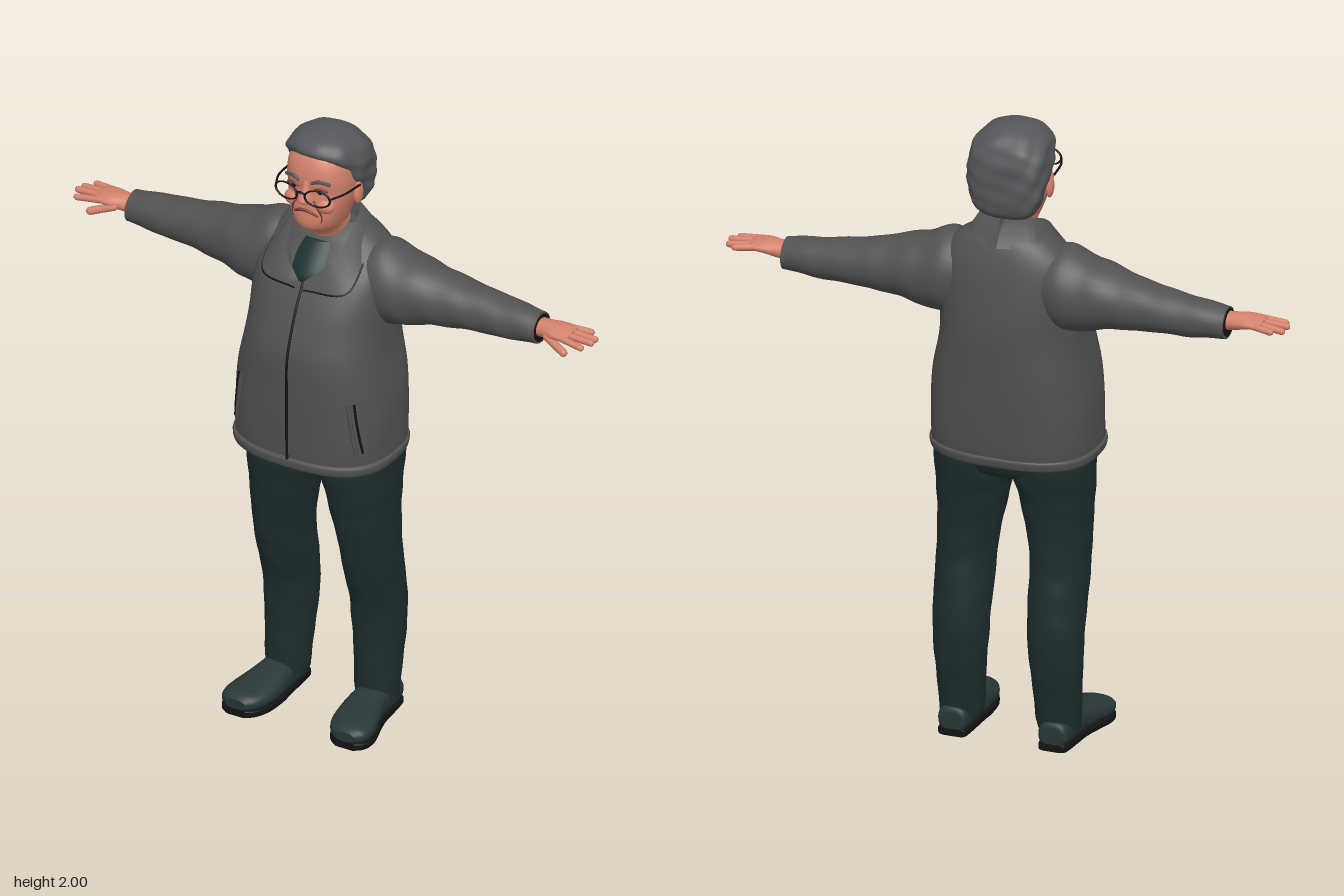
import * as THREE from 'three';

const mat = (name, color, side = THREE.FrontSide) => {
  const m = new THREE.MeshStandardMaterial({ color, side });
  m.name = name;
  return m;
};

// Smooth value between table rows; u counts rows, a missing roundness is 1
function rowAt(rows, u) {
  const i = Math.min(Math.floor(u), rows.length - 2), f = u - i;
  const get = (k, c) => rows[Math.max(0, Math.min(rows.length - 1, k))][c] ?? 1;
  return [0, 1, 2, 3, 4, 5].map((c) => {
    const a = get(i - 1, c), b = get(i, c), d = get(i + 1, c), e = get(i + 2, c);
    return b + 0.5 * f * (d - a + f * (2 * a - 5 * b + 4 * d - e + f * (3 * (b - d) + e - a)));
  });
}

// Loft of superellipses, each row: [along, centre, halfWidth, max, min, roundness]
// axis y: width in x, max/min in z. axis x: width in z, max/min in y. axis z: width in y, max/min in x.
function loft(rows, { axis = 'y', n = 32, sub = 4, warp = () => 1 } = {}) {
  const pos = [], idx = [], steps = (rows.length - 1) * sub;
  const put = (a, b, c) => pos.push(...(axis === 'y' ? [a, b, c] : axis === 'x' ? [b, c, a] : [c, a, b]));
  const pow = (v, e) => Math.sign(v) * Math.abs(v) ** e;
  for (let i = 0; i <= steps; i++) {
    const [t, c, w, hi, lo, e] = rowAt(rows, i / sub);
    for (let j = 0; j < n; j++) {
      const a = (j / n) * Math.PI * 2, k = warp(t, a);
      put(c + w * k * pow(Math.cos(a), e), t, (hi + lo) / 2 + ((hi - lo) / 2) * k * pow(Math.sin(a), e));
      const p = i * n + j, q = i * n + ((j + 1) % n);
      if (i < steps) idx.push(p, p + n, q, q, p + n, q + n);
    }
  }
  // End caps
  for (const [row, i, flip] of [[rows[0], 0, false], [rows[rows.length - 1], steps, true]]) {
    const start = pos.length / 3;
    for (let j = 0; j < n; j++) pos.push(...pos.slice((i * n + j) * 3, (i * n + j) * 3 + 3));
    put(row[1], row[0], (row[3] + row[4]) / 2);
    for (let j = 0; j < n; j++) {
      const p = start + j, q = start + ((j + 1) % n);
      idx.push(start + n, ...(flip ? [q, p] : [p, q]));
    }
  }
  return build(pos, idx);
}

function build(pos, idx) {
  const g = new THREE.BufferGeometry();
  g.setAttribute('position', new THREE.Float32BufferAttribute(pos, 3));
  g.setIndex(idx);
  g.computeVertexNormals();
  return g;
}

function mirrored(geo) {
  const g = geo.clone().scale(-1, 1, 1);
  const ix = g.index.array;
  for (let i = 0; i < ix.length; i += 3) [ix[i], ix[i + 1]] = [ix[i + 1], ix[i]];
  return g;
}

const V = (p) => new THREE.Vector3(...p);
const curve = (pts) => new THREE.CatmullRomCurve3(pts.map(V));
const tube = (pts, r, n = 24) => new THREE.TubeGeometry(curve(pts), n, r, 6);
const ball = (x, y, z, rx, ry, rz) => new THREE.SphereGeometry(1, 20, 14).scale(rx, ry, rz).translate(x, y, z);

function capsule(from, to, r) {
  const a = V(from), b = V(to), d = b.clone().sub(a);
  const g = new THREE.CapsuleGeometry(r, d.length(), 5, 10);
  g.applyQuaternion(new THREE.Quaternion().setFromUnitVectors(new THREE.Vector3(0, 1, 0), d.normalize()));
  return g.translate(...a.add(b).multiplyScalar(0.5).toArray());
}

const TORSO = [
  [0.945, 0, 0.255, 0.2, -0.195, 0.75], [1.0, 0, 0.256, 0.204, -0.204, 0.75],
  [1.1, 0, 0.255, 0.205, -0.21, 0.75], [1.2, 0, 0.247, 0.205, -0.215, 0.78],
  [1.3, 0, 0.229, 0.203, -0.219, 0.8], [1.38, 0, 0.223, 0.18, -0.219, 0.82],
  [1.46, 0, 0.224, 0.147, -0.212, 0.82], [1.54, 0, 0.22, 0.1, -0.2, 0.82],
  [1.6, 0, 0.2, 0.05, -0.186, 0.85], [1.65, 0, 0.15, 0.015, -0.168, 0.9], [1.68, 0, 0.1, -0.02, -0.145, 1],
];

// Point on the front of the jacket
function onTorso(x, y, out = 0.002) {
  let i = 0;
  while (i < TORSO.length - 2 && TORSO[i + 1][0] < y) i++;
  const u = i + Math.max(0, (y - TORSO[i][0]) / (TORSO[i + 1][0] - TORSO[i][0]));
  const [, , w, hi, lo, e] = rowAt(TORSO, u);
  return [x, y, (hi + lo) / 2 + ((hi - lo) / 2) * (1 - Math.abs(x / w) ** (2 / e)) ** (e / 2) + out];
}

export function createModel() {
  const root = new THREE.Group();
  root.name = 'standingPerson';
  const jacket = mat('jacket grey', 0x525252), cloth = mat('collar grey', 0x525252, THREE.DoubleSide);
  const hair = mat('hair grey', 0x55575a), skin = mat('skin', 0xd4826c), crease = mat('dark skin', 0x7d4238);
  const trousers = mat('trousers green', 0x1f2e2e), shirt = mat('shirt green', 0x1d3332);
  const shoe = mat('shoe green', 0x283737), black = mat('black', 0x131313), eyeWhite = mat('eye white', 0xa9b0b0);
  const add = (name, geo, m) => {
    const mesh = new THREE.Mesh(geo, m);
    mesh.name = name;
    root.add(mesh);
  };
  const pair = (name, geo, m) => {
    add(name + 'Left', geo, m);
    add(name + 'Right', mirrored(geo), m);
  };

  // Jacket body, hem, zip and pockets
  add('jacketBody', loft(TORSO, { n: 56, warp: (y, a) => 1 + 0.007 * Math.sin(a * 4 + y * 16) * Math.sin(y * 9) }), jacket);
  add('jacketHem', loft([
    [0.93, 0, 0.25, 0.2, -0.19, 0.75], [0.934, 0, 0.26, 0.208, -0.198, 0.75],
    [0.958, 0, 0.263, 0.21, -0.203, 0.75], [0.965, 0, 0.25, 0.2, -0.195, 0.75],
  ], { n: 56 }), jacket);
  add('zip', tube([0.94, 1.0, 1.1, 1.2, 1.3, 1.38, 1.46, 1.53].map((y) => onTorso(0, y, 0.004)), 0.0045, 40), black);
  const pocketY = [1.18, 1.12, 1.06, 1.01];
  pair('pocketSeam', tube(pocketY.map((y) => onTorso(0.2 + (1.18 - y) * 0.13, y)), 0.004), black);
  pair('pocketEdge', tube(pocketY.map((y) => onTorso(0.185 + (1.18 - y) * 0.13, y, 0)), 0.007), jacket);

  // Collar: inner wall, folded top edge, outer flap
  const edges = [
    [[0, 1.65, -0.11], [0.08, 1.64, -0.06], [0.085, 1.61, 0], [0.06, 1.56, 0.075], [0.01, 1.52, 0.112]],
    [[0, 1.732, -0.13], [0.078, 1.725, -0.095], [0.1, 1.69, -0.02], [0.082, 1.61, 0.075], [0.012, 1.54, 0.127]],
    [[0, 1.645, -0.182], [0.125, 1.64, -0.13], [0.152, 1.61, -0.01], [0.145, 1.525, 0.105], [0.015, 1.515, 0.135]],
  ].map((p) => curve(p).getPoints(24));
  const cp = [], ci = [];
  for (let i = 0; i <= 24; i++) {
    edges.forEach((e) => cp.push(...e[i].toArray()));
    for (let k = 0; k < 2 && i < 24; k++) {
      const p = i * 3 + k;
      ci.push(p, p + 3, p + 1, p + 1, p + 3, p + 4);
    }
  }
  pair('collar', build(cp, ci), cloth);
  pair('collarSeam', tube(edges[2].slice(13).map((v) => v.toArray()), 0.003), black);
  add('shirt', loft([
    [1.5, 0, 0.09, 0.1, -0.09], [1.54, 0, 0.092, 0.112, -0.09], [1.58, 0, 0.085, 0.088, -0.1],
    [1.62, 0, 0.076, 0.052, -0.11], [1.635, 0, 0.07, 0.038, -0.11],
  ]), shirt);

  // Sleeves with soft folds, dark cuff openings
  pair('sleeve', loft([
    [0.1, -0.07, 0.1, 1.61, 1.42], [0.18, -0.07, 0.117, 1.64, 1.37], [0.27, -0.07, 0.112, 1.612, 1.383],
    [0.36, -0.076, 0.095, 1.588, 1.402], [0.465, -0.085, 0.078, 1.564, 1.414], [0.6, -0.09, 0.065, 1.544, 1.42],
    [0.69, -0.09, 0.055, 1.533, 1.428], [0.712, -0.09, 0.052, 1.53, 1.43],
  ], { axis: 'x', sub: 7, warp: (x, a) => 1 + 0.025 * Math.sin(x * 48 + 2 * Math.sin(a + 1)) * Math.sin(a * 2 + x * 9) }), jacket);
  pair('cuffOpening', loft([[0.711, -0.09, 0.045, 1.525, 1.437], [0.714, -0.09, 0.045, 1.525, 1.437]], { axis: 'x' }), black);

  // Hands
  pair('palm', loft([
    [0.69, -0.088, 0.032, 1.515, 1.455], [0.73, -0.086, 0.035, 1.515, 1.46], [0.77, -0.083, 0.046, 1.515, 1.47],
    [0.805, -0.084, 0.048, 1.51, 1.478], [0.825, -0.085, 0.042, 1.503, 1.482],
  ], { axis: 'x', n: 20 }), skin);
  [[-0.046, -0.04, 0.878], [-0.072, -0.074, 0.894], [-0.097, -0.105, 0.89], [-0.119, -0.131, 0.862]].forEach(([z0, z1, tip], i) =>
    pair('finger' + (i + 1), capsule([0.8, 1.494, z0], [tip, 1.485 + 0.004 * (i % 2), z1], 0.0105), skin));
  pair('thumb', capsule([0.755, 1.482, -0.05], [0.825, 1.458, -0.028], 0.0125), skin);

  // Trousers
  pair('trouserLeg', loft([
    [0.055, 0.158, 0.066, 0.0, -0.125], [0.1, 0.155, 0.071, 0.004, -0.132], [0.2, 0.155, 0.076, 0.002, -0.15],
    [0.3, 0.153, 0.084, 0.002, -0.163], [0.4, 0.152, 0.088, 0.014, -0.164], [0.5, 0.151, 0.09, 0.05, -0.153],
    [0.6, 0.15, 0.091, 0.076, -0.141], [0.7, 0.142, 0.1, 0.096, -0.142], [0.8, 0.133, 0.113, 0.113, -0.152],
    [0.87, 0.126, 0.124, 0.124, -0.17], [0.95, 0.125, 0.126, 0.13, -0.182],
  ], { sub: 6, warp: (y, a) => 1 + (0.012 + 0.02 * Math.max(0, 0.3 - y)) * Math.sin(y * 55 + a) * Math.sin(a * 2 + y * 8) }), trousers);
  add('trouserSeat', loft([
    [0.865, 0, 0.06, 0.07, -0.11], [0.89, 0, 0.17, 0.115, -0.16, 0.8], [0.96, 0, 0.245, 0.13, -0.185, 0.8],
  ]), trousers);

  // Shoes with flat soles
  const shoeRows = [
    [-0.14, 0.05, 0.028, 0.195, 0.125], [-0.128, 0.052, 0.042, 0.208, 0.115], [-0.06, 0.056, 0.052, 0.216, 0.11],
    [0, 0.056, 0.05, 0.222, 0.107], [0.05, 0.052, 0.042, 0.235, 0.103], [0.12, 0.045, 0.034, 0.255, 0.108],
    [0.168, 0.042, 0.028, 0.25, 0.128], [0.19, 0.04, 0.016, 0.225, 0.155],
  ];
  pair('shoe', loft(shoeRows.map(([z, y, h, a, b]) => [z, y, h, a, b, 0.85]), { axis: 'z' }), shoe);
  pair('sole', loft(shoeRows.map(([z, , , a, b]) => [z, 0.012, 0.012, a, b, 0.3]), { axis: 'z' }), black);

  // Head, nose and ears
  add('head', loft([
    [1.6, 0, 0.064, 0.01, -0.11], [1.65, 0, 0.066, 0.022, -0.11], [1.685, 0, 0.068, 0.055, -0.11],
    [1.7, 0, 0.07, 0.09, -0.11], [1.73, 0, 0.08, 0.103, -0.115, 0.9], [1.78, 0, 0.095, 0.099, -0.12, 0.85],
    [1.83, 0, 0.105, 0.092, -0.13, 0.85], [1.87, 0, 0.106, 0.097, -0.13, 0.85], [1.92, 0, 0.1, 0.088, -0.12, 0.9],
    [1.96, 0, 0.075, 0.06, -0.1], [1.98, 0, 0.03, 0, -0.06],
  ], { n: 40 }), skin);
  add('nose', loft([
    [1.797, 0, 0.012, 0.105, 0.06], [1.804, 0, 0.025, 0.121, 0.06], [1.815, 0, 0.024, 0.126, 0.06],
    [1.84, 0, 0.015, 0.112, 0.06], [1.872, 0, 0.014, 0.1, 0.06],
  ], { n: 20 }), skin);
  pair('ear', ball(0.112, 1.805, -0.025, 0.012, 0.037, 0.022), skin);
  pair('cheek', ball(0.052, 1.79, 0.072, 0.034, 0.026, 0.024), skin);

  // Eyes, brows, mouth and cheek lines
  pair('eyeWhite', ball(0.046, 1.842, 0.082, 0.018, 0.008, 0.009), eyeWhite);
  pair('pupil', ball(0.046, 1.842, 0.09, 0.008, 0.008, 0.004), black);
  pair('eyelid', tube([[0.025, 1.845, 0.092], [0.046, 1.853, 0.092], [0.07, 1.845, 0.083]], 0.004), crease);
  pair('eyebrow', tube([[0.02, 1.87, 0.097], [0.046, 1.88, 0.095], [0.077, 1.87, 0.08]], 0.0055), hair);
  add('mouth', tube([[-0.04, 1.757, 0.09], [-0.02, 1.77, 0.1], [0, 1.773, 0.102], [0.02, 1.77, 0.1], [0.04, 1.757, 0.09]], 0.005), crease);
  pair('cheekLine', tube([[0.026, 1.808, 0.093], [0.042, 1.785, 0.096], [0.05, 1.755, 0.086], [0.048, 1.735, 0.085]], 0.003), crease);

  // Wavy hair, set back from the face
  add('hair', loft([
    [1.725, 0, 0.07, -0.07, -0.135, 0.8], [1.745, 0, 0.095, -0.055, -0.15, 0.8], [1.78, 0, 0.112, -0.045, -0.157, 0.75],
    [1.82, 0, 0.12, -0.02, -0.158, 0.7], [1.86, 0, 0.125, 0.015, -0.156, 0.65], [1.91, 0, 0.124, 0.045, -0.152, 0.65],
    [1.95, 0, 0.112, 0.075, -0.138, 0.75], [1.98, 0, 0.082, 0.06, -0.112, 0.9], [1.995, 0, 0.045, 0.02, -0.08], [2, 0, 0.012, -0.02, -0.045],
  ], { n: 48, sub: 5, warp: (y, a) => 1 + 0.022 * Math.sin(a * 7 + y * 50) + 0.014 * Math.sin(y * 110 - a * 4) }), hair);

  // Glasses
  const rim = new THREE.TorusGeometry(1, 0.085, 8, 32).scale(0.041, 0.027, 0.041).rotateY(0.15).translate(0.054, 1.836, 0.119);
  pair('glassesRim', rim, black);
  pair('glassesArm', tube([[0.094, 1.842, 0.113], [0.115, 1.842, 0.06], [0.122, 1.838, -0.02]], 0.0035), black);
  add('glassesBridge', tube([[-0.015, 1.842, 0.123], [0, 1.847, 0.126], [0.015, 1.842, 0.123]], 0.0035), black);

  return root;
}
